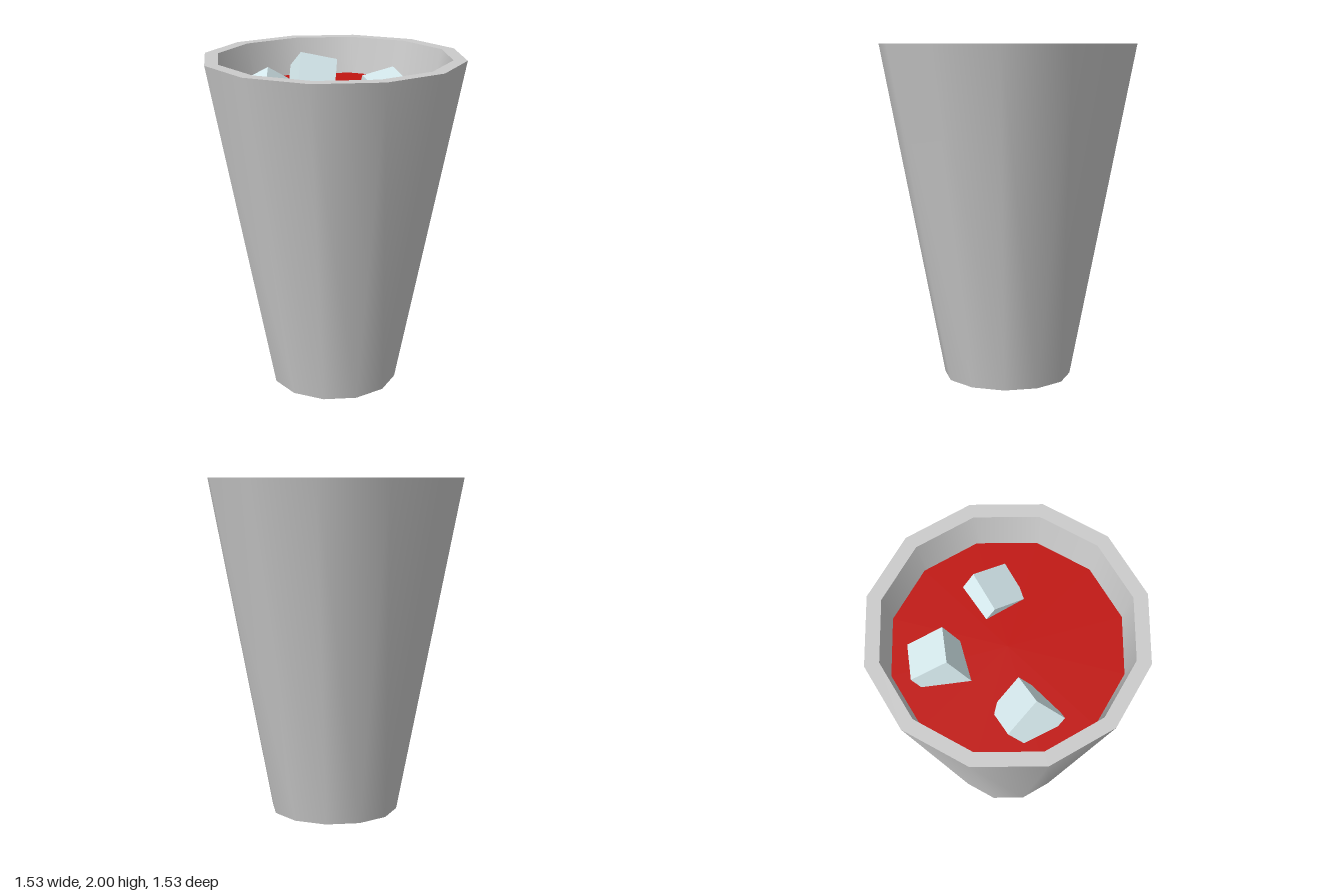
import * as THREE from 'three';
import { toCreasedNormals } from 'three/addons/utils/BufferGeometryUtils.js';

const SIDES = 12;
const LIQUID_Y = 1.78;
const ICE = 0.23;

// Tilted ice cube from its highest corner and the directions of two edges;
// the third edge always runs downwards.
function iceCube(name, corner, edgeA, edgeB, material) {
  const x = new THREE.Vector3(...edgeA).normalize();
  const z = x.clone().cross(new THREE.Vector3(...edgeB)).normalize();
  const y = z.clone().cross(x);
  const down = z.clone().multiplyScalar(z.y < 0 ? 1 : -1);

  const cube = new THREE.Mesh(new THREE.BoxGeometry(ICE, ICE, ICE), material);
  cube.name = name;
  cube.quaternion.setFromRotationMatrix(new THREE.Matrix4().makeBasis(x, y, z));
  cube.position.set(...corner);
  for (const edge of [x, y, down]) cube.position.addScaledVector(edge, ICE / 2);
  return cube;
}

export function createModel() {
  const model = new THREE.Group();
  model.name = 'drinkCup';

  // Tapered cup with a thick wall, smooth round the sides, sharp at the rim
  const profile = [[0, 0], [0.382, 0], [0.765, 2], [0.685, 2], [0.32, 0.1], [0, 0.1]]
    .map(([r, y]) => new THREE.Vector2(r, y));
  const cup = new THREE.Mesh(
    toCreasedNormals(new THREE.LatheGeometry(profile, SIDES), THREE.MathUtils.degToRad(40)),
    new THREE.MeshStandardMaterial({ color: 0xcccccc })
  );
  cup.name = 'cup';
  model.add(cup);

  // Surface of the drink
  const liquid = new THREE.Mesh(
    new THREE.CircleGeometry(0.645, SIDES).rotateX(-Math.PI / 2),
    new THREE.MeshStandardMaterial({ color: 0xc11510, side: THREE.DoubleSide })
  );
  liquid.name = 'liquid';
  liquid.position.y = LIQUID_Y;
  model.add(liquid);

  // Floating ice cubes
  const ice = new THREE.MeshStandardMaterial({ color: 0xd9edf1 });
  model.add(
    iceCube('iceCubeBack', [-0.08, 1.973, -0.35], [0.22, -0.052, 0.03], [0, -0.115, -0.2], ice),
    iceCube('iceCubeRight', [-0.41, 1.976, 0.04], [-0.1, -0.103, -0.18], [0.195, -0.116, -0.04], ice),
    iceCube('iceCubeLeft', [0.185, 1.875, -0.02], [0.22, 0.026, -0.06], [0.065, -0.103, 0.195], ice)
  );
  return model;
}
